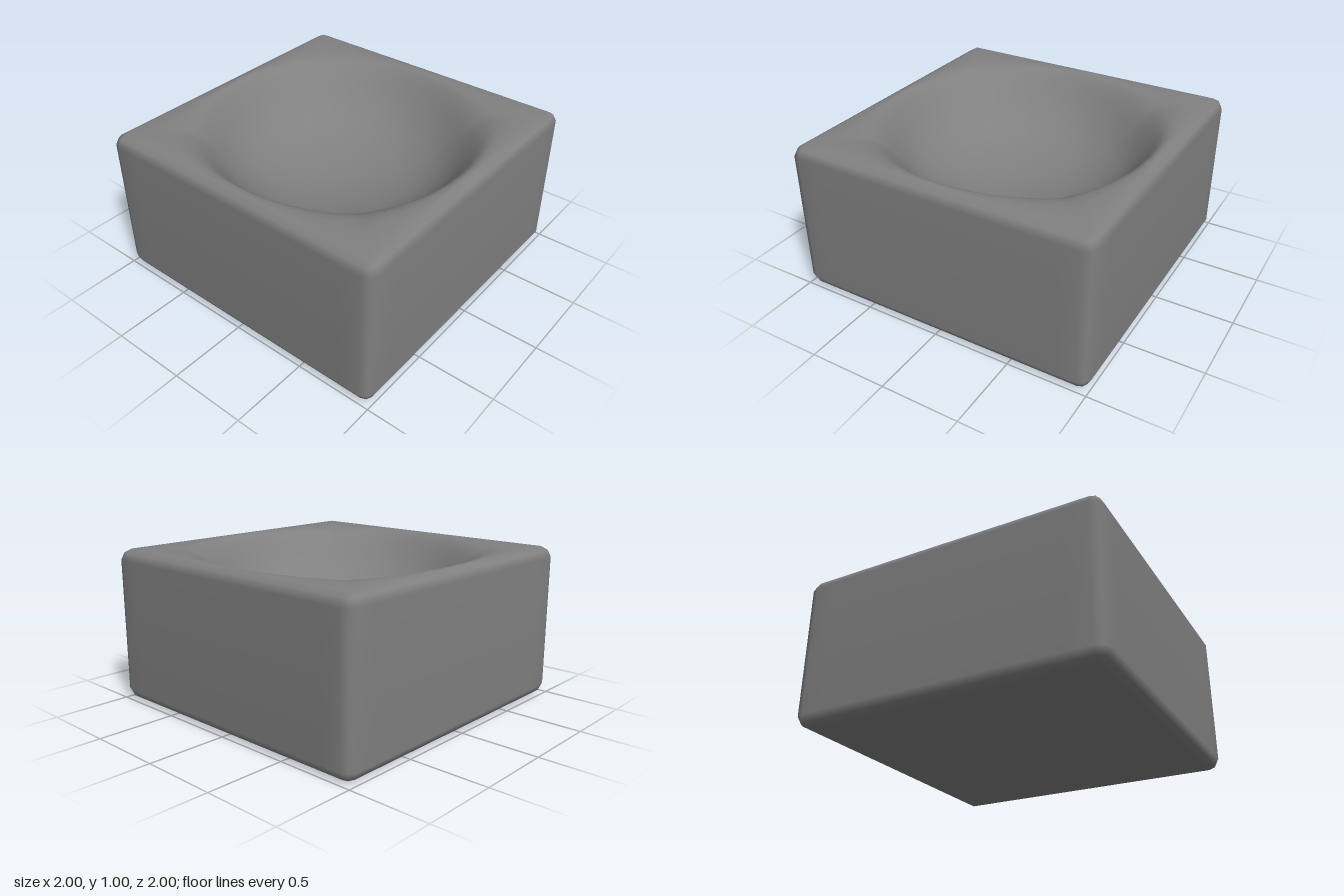
import * as THREE from 'three';
import { mergeVertices } from 'three/addons/utils/BufferGeometryUtils.js';

const CORE = 0.93; // half width of the flat faces inside the rounded edges
const STEPS = 14; // samples along each straight side
const CORNER = 2; // segments around each vertical edge

// Rounded square outline of half width h, clockwise seen from above
function squareLoop(h) {
  const r = h - CORE, pts = [];
  for (let side = 0; side < 4; side++) {
    const a = side * Math.PI / 2, c = Math.cos(a), s = Math.sin(a);
    const add = (x, z) => pts.push([x * c - z * s, x * s + z * c]);
    for (let i = 0; i < STEPS; i++) add(h, CORE * (2 * i / STEPS - 1));
    for (let i = 0; i < CORNER; i++) {
      const t = i / CORNER * Math.PI / 2;
      add(CORE + r * Math.cos(t), CORE + r * Math.sin(t));
    }
  }
  return pts;
}

// Outline of the hollow: a circle, drawn out towards the corners by squareness
function hollowLoop(radius, squareness) {
  return squareLoop(1).map(([x, z]) => {
    const round = radius / Math.hypot(x, z);
    const square = radius / Math.max(Math.abs(x), Math.abs(z));
    const k = round + (square - round) * squareness;
    return [x * k, z * k];
  });
}

// Joins the loops into one closed skin
function skin(loops) {
  const pos = [], index = [], n = loops[0].pts.length;
  loops.forEach(({ pts, y }) => pts.forEach(([x, z]) => pos.push(x, y, z)));
  for (let j = 0; j < loops.length - 1; j++) {
    for (let i = 0; i < n; i++) {
      const a = j * n + i, b = j * n + (i + 1) % n;
      index.push(a, a + n, b, b, a + n, b + n);
    }
  }
  let geo = new THREE.BufferGeometry();
  geo.setAttribute('position', new THREE.Float32BufferAttribute(pos, 3));
  geo.setIndex(index);
  geo = mergeVertices(geo, 1e-4);
  geo.computeVertexNormals();
  return geo;
}

export function createModel() {
  const grey = new THREE.MeshStandardMaterial({ color: 0x808080 });
  grey.name = 'grey';

  // Block: underside, rounded lower edge, walls, rounded upper edge
  const block = [[0.93, 0], [0.976, 0.024], [1, 0.07],
    [1, 0.93], [0.976, 0.976], [0.93, 1]];
  // Bowl as radius, height, squareness: soft rim, wall, shallow floor
  const bowl = [[0.905, 0.998, 0.5], [0.885, 0.988, 0.3], [0.865, 0.97, 0.17],
    [0.835, 0.935, 0.08], [0.8, 0.89, 0.04], [0.76, 0.84, 0.01], [0.72, 0.792, 0],
    [0.66, 0.735, 0], [0.6, 0.69, 0], [0.52, 0.645, 0], [0.44, 0.612, 0],
    [0.34, 0.583, 0], [0.22, 0.56, 0], [0.1, 0.549, 0], [0, 0.547, 0]];

  const loops = [
    { pts: hollowLoop(0, 0), y: 0 },
    ...block.map(([h, y]) => ({ pts: squareLoop(h), y })),
    ...bowl.map(([r, y, q]) => ({ pts: hollowLoop(r, q), y })),
  ];

  const mesh = new THREE.Mesh(skin(loops), grey);
  mesh.name = 'hollowedBlock';
  const group = new THREE.Group();
  group.name = 'squareBowl';
  group.add(mesh);
  return group;
}
